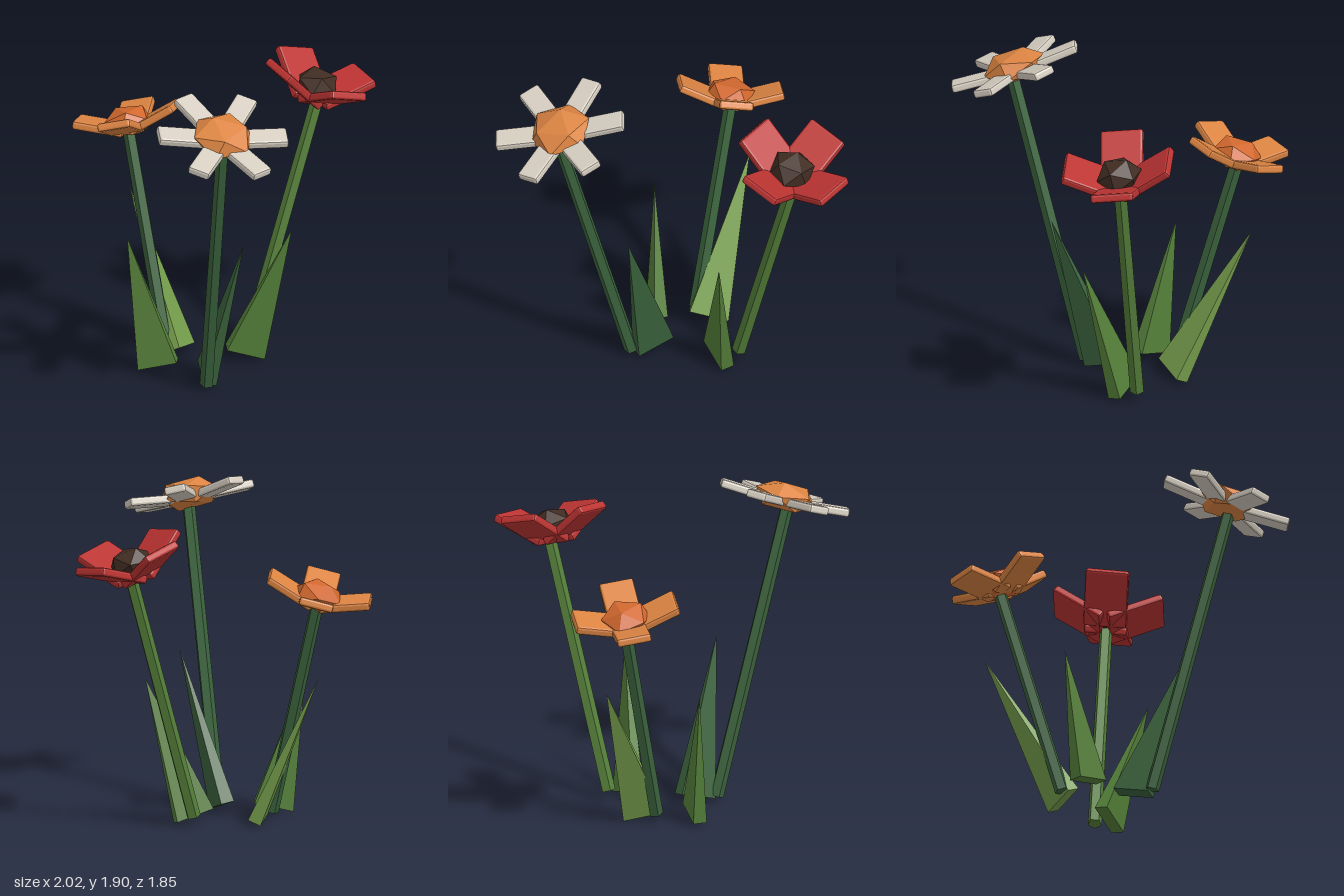
import * as THREE from 'three';
import { RoundedBoxGeometry } from 'three/addons/geometries/RoundedBoxGeometry.js';

const V = (a) => new THREE.Vector3(...a);
const UP = new THREE.Vector3(0, 1, 0);

function material(name, color) {
  const m = new THREE.MeshStandardMaterial({ color, flatShading: true });
  m.name = name;
  return m;
}

function mesh(name, geometry, mat) {
  const m = new THREE.Mesh(geometry, mat);
  m.name = name;
  return m;
}

// Five-sided stalk between two points
function stem(name, from, to, mat) {
  const a = V(from), b = V(to), dir = b.clone().sub(a);
  const m = mesh(name, new THREE.CylinderGeometry(0.038, 0.042, dir.length(), 5), mat);
  m.position.copy(a).add(b).multiplyScalar(0.5);
  m.quaternion.setFromUnitVectors(UP, dir.normalize());
  return m;
}

// Flat pyramid blade with a rectangular base, from base centre to tip
function leaf(name, base, tip, across, mat, width = 0.23, depth = 0.08) {
  const a = V(base), axis = V(tip).sub(a), height = axis.length();
  axis.normalize();
  const x = V(across).addScaledVector(axis, -V(across).dot(axis)).normalize();
  const z = x.clone().cross(axis);
  const geo = new THREE.ConeGeometry(Math.SQRT1_2, height, 4, 1);
  geo.rotateY(Math.PI / 4).translate(0, height / 2, 0).scale(width, 1, depth);
  geo.applyMatrix4(new THREE.Matrix4().makeBasis(x, axis, z).setPosition(a));
  return mesh(name, geo, mat);
}

// Ring of bevelled petals around a squashed faceted centre
function flower(name, o) {
  const g = new THREE.Group();
  g.name = name;
  const geo = new RoundedBoxGeometry(o.length - o.inner, 0.05, o.width, 1, 0.014);
  geo.translate((o.length + o.inner) / 2, 0, 0);
  for (let i = 0; i < o.count; i++) {
    const petal = mesh('petal', geo, o.petalMat);
    const angle = THREE.MathUtils.degToRad(o.start) + (i / o.count) * Math.PI * 2;
    petal.rotation.set(0, -angle, THREE.MathUtils.degToRad(o.pitch));
    g.add(petal);
  }
  const ball = new THREE.IcosahedronGeometry(o.radius, 0);
  ball.rotateX(Math.atan(2 / (1 + Math.sqrt(5)))); // a vertex points up
  ball.scale(1, o.squash, 1);
  const centre = mesh('flowerCentre', ball, o.centreMat);
  centre.position.y = o.lift;
  g.add(centre);
  g.position.set(...o.at);
  g.quaternion.setFromUnitVectors(UP, V(o.facing).normalize());
  return g;
}

export function createModel() {
  const darkGreen = material('dark green', 0x3b633d);
  const midGreen = material('mid green', 0x55803a);
  const lightGreen = material('light green', 0x769f4c);
  const white = material('petal white', 0xd6cec1);
  const orange = material('petal orange', 0xdc8442);
  const deepOrange = material('deep orange', 0xd2682e);
  const red = material('petal red', 0xbc3432);
  const brown = material('dark brown', 0x402c22);

  const model = new THREE.Group();
  model.name = 'flowers';

  // Stems
  model.add(
    stem('whiteFlowerStem', [-0.33, 0.03, 0.2], [-0.65, 1.71, 0.565], darkGreen),
    stem('orangeFlowerStem', [-0.1, 0.06, -0.27], [-0.01, 1.29, -0.61], darkGreen),
    stem('redFlowerStem', [0.27, 0.06, 0.04], [0.67, 1.48, 0.23], midGreen),
  );

  // Leaves
  model.add(
    leaf('backLeaf', [-0.01, 0.045, -0.235], [0.08, 0.91, -0.68], [0.24, -0.04, -0.07], lightGreen),
    leaf('frontLeftLeaf', [-0.225, 0.045, 0.12], [-0.27, 0.93, 0.42], [-0.16, -0.05, 0.17], darkGreen),
    leaf('frontRightLeaf', [0.165, 0.045, 0.095], [0.26, 0.84, 0.36], [0.15, -0.06, 0.14], midGreen),
    leaf('backLeftLeaf', [-0.305, 0.05, -0.175], [-0.38, 0.82, -0.34], [-0.11, -0.04, -0.18], midGreen),
  );

  // Flower heads
  model.add(
    flower('whiteFlower', {
      at: [-0.635, 1.73, 0.545], facing: [-0.17, 1, 0.32], count: 6, start: 43, pitch: 4,
      inner: 0.05, length: 0.38, width: 0.13, radius: 0.19, squash: 0.5, lift: 0.03,
      petalMat: white, centreMat: orange,
    }),
    flower('orangeFlower', {
      at: [-0.02, 1.3, -0.6], facing: [0.03, 1, -0.3], count: 4, start: 65, pitch: 19,
      inner: 0.02, length: 0.32, width: 0.2, radius: 0.15, squash: 0.6, lift: 0.06,
      petalMat: orange, centreMat: deepOrange,
    }),
    flower('redFlower', {
      at: [0.64, 1.48, 0.215], facing: [0.22, 1, 0.22], count: 4, start: 20, pitch: 30,
      inner: 0.02, length: 0.36, width: 0.25, radius: 0.135, squash: 0.75, lift: 0.1,
      petalMat: red, centreMat: brown,
    }),
  );
  return model;
}
